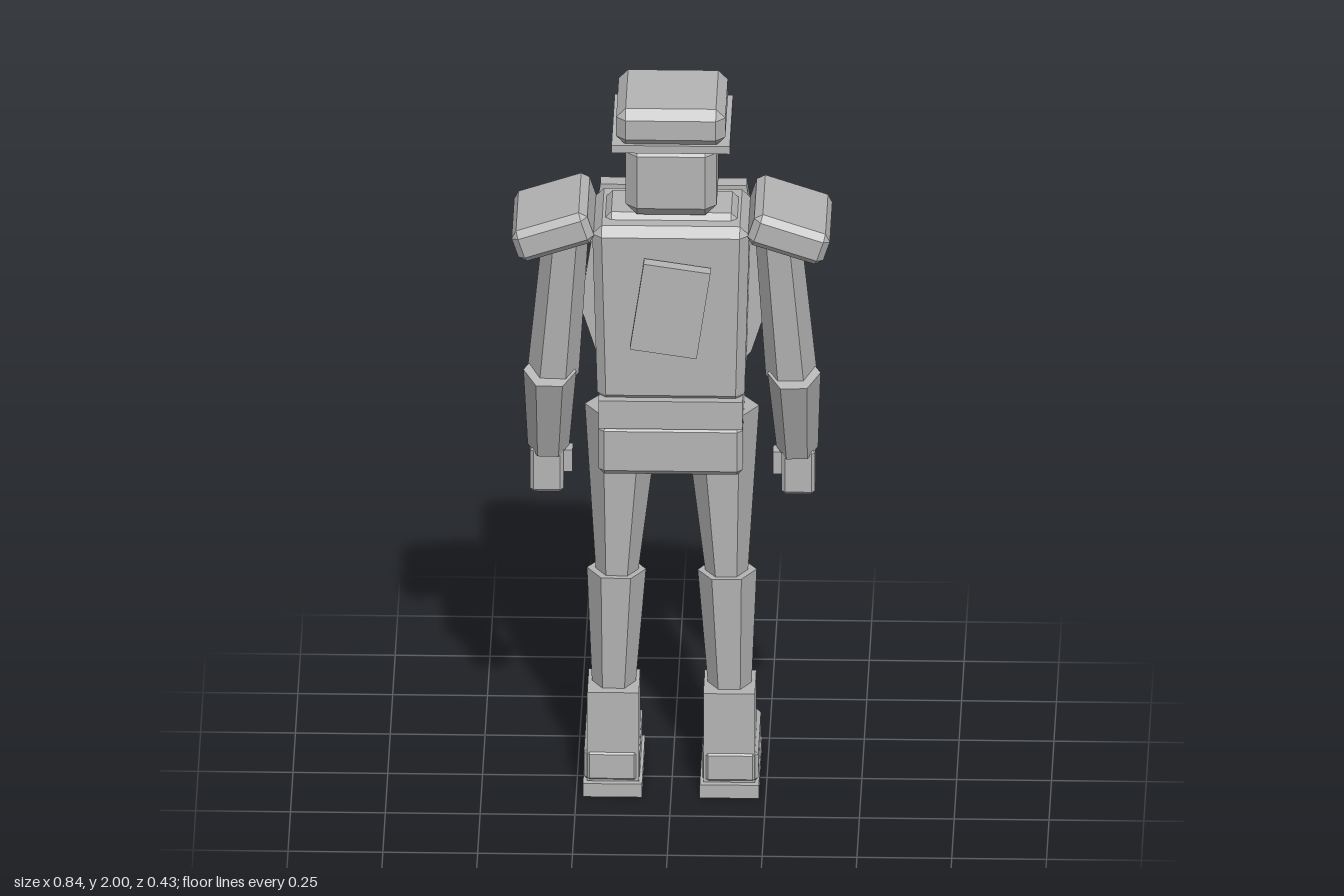
import * as THREE from 'three';
import { ConvexGeometry } from 'three/addons/geometries/ConvexGeometry.js';

export function createModel() {
  const root = new THREE.Group();
  root.name = 'armouredFigure';
  const grey = new THREE.MeshStandardMaterial({ color: 0xb4b4b4, flatShading: true });
  grey.name = 'plainGrey';

  const add = (name, geometry, x, y, z, parent = root) => {
    const mesh = new THREE.Mesh(geometry, grey);
    mesh.name = name;
    mesh.position.set(x, y, z);
    parent.add(mesh);
    return mesh;
  };

  // Box given by its extents on each axis
  const box = (name, [x0, x1], [y0, y1], [z0, z1], parent = root) =>
    add(name, new THREE.BoxGeometry(x1 - x0, y1 - y0, z1 - z0),
      (x0 + x1) / 2, (y0 + y1) / 2, (z0 + z1) / 2, parent);

  // Box with cut edges, optionally narrowed toward the bottom
  const chamferBox = (name, [x0, x1], [y0, y1], [z0, z1], c, parent = root, taperX = 1, taperZ = 1) => {
    const h = [(x1 - x0) / 2, (y1 - y0) / 2, (z1 - z0) / 2];
    const points = [];
    for (const sx of [-1, 1]) for (const sy of [-1, 1]) for (const sz of [-1, 1])
      for (let axis = 0; axis < 3; axis++) {
        const p = h.map((v, i) => (i === axis ? v : v - c));
        const kx = sy < 0 ? taperX : 1, kz = sy < 0 ? taperZ : 1;
        points.push(new THREE.Vector3(sx * p[0] * kx, sy * p[1], sz * p[2] * kz));
      }
    return add(name, new ConvexGeometry(points), (x0 + x1) / 2, (y0 + y1) / 2, (z0 + z1) / 2, parent);
  };

  // Six-sided tapered limb between two points
  const limb = (name, from, to, rTop, rBottom, parent, turn = 0) => {
    const a = new THREE.Vector3(...from), b = new THREE.Vector3(...to);
    const dir = a.clone().sub(b);
    const geometry = new THREE.CylinderGeometry(rTop, rBottom, dir.length(), 6);
    geometry.rotateY(turn);
    const mid = a.clone().add(b).multiplyScalar(0.5);
    const mesh = add(name, geometry, mid.x, mid.y, mid.z, parent);
    mesh.quaternion.setFromUnitVectors(new THREE.Vector3(0, 1, 0), dir.normalize());
    return mesh;
  };

  // Flat plate cut from a half outline mirrored in x
  const plate = (name, half, z0, z1) => {
    const outline = [...half, ...half.map(([x, y]) => [-x, y]).reverse()];
    const shape = new THREE.Shape(outline.map(([x, y]) => new THREE.Vector2(x, y)));
    return add(name, new THREE.ExtrudeGeometry(shape, { depth: z1 - z0, bevelEnabled: false }), 0, 0, z0);
  };

  // Helmet and head
  chamferBox('helmetCrown', [-0.144, 0.144], [1.895, 2], [-0.129, 0.168], 0.025);
  box('helmetBrim', [-0.156, 0.156], [1.878, 1.9], [-0.167, 0.16]);
  chamferBox('head', [-0.12, 0.12], [1.675, 1.885], [-0.106, 0.132], 0.03);
  chamferBox('faceMask', [-0.085, 0.085], [1.705, 1.825], [-0.146, -0.09], 0.017);
  box('goggleBridge', [-0.03, 0.03], [1.825, 1.845], [-0.125, -0.1]);
  for (const s of [-1, 1]) {
    const goggle = box('goggle', [-0.032, 0.032], [1.833, 1.865], [-0.127, -0.1]);
    goggle.position.x = s * 0.055;
    const lens = box('goggleLens', [-0.015, 0.015], [1.84, 1.86], [-0.137, -0.125]);
    lens.position.x = s * 0.055;
  }

  // Torso, belt and hips
  chamferBox('collar', [-0.18, 0.18], [1.62, 1.676], [-0.068, 0.112], 0.022);
  chamferBox('torso', [-0.207, 0.207], [1.15, 1.66], [-0.12, 0.167], 0.025, root, 0.94, 0.93);
  box('belt', [-0.19, 0.19], [1.085, 1.165], [-0.1, 0.173]);
  box('buckle', [-0.035, 0.035], [1.09, 1.145], [-0.122, -0.1]);
  chamferBox('hips', [-0.19, 0.19], [0.945, 1.088], [-0.105, 0.165], 0.015);

  // Breastplate with raised upper panel and bolts
  plate('breastplate', [[0.193, 1.656], [0.245, 1.3], [0.205, 1.175], [0.17, 1.14]], -0.175, -0.128);
  plate('upperPanel', [[0.19, 1.625], [0.195, 1.43]], -0.195, -0.175);
  for (const x of [-0.16, 0.16]) {
    box('upperBolt', [x - 0.013, x + 0.013], [1.572, 1.598], [-0.219, -0.195]);
    box('lowerBolt', [x - 0.013, x + 0.013], [1.23, 1.256], [-0.216, -0.19]);
  }

  // Slightly turned pack on the back
  box('backPack', [-0.089, 0.089], [1.32, 1.57], [0.178, 0.215]).rotation.z = -0.147;

  for (const s of [-1, 1]) {
    const span = (a, b) => (s > 0 ? [a, b] : [-b, -a]);

    // Arm
    const arm = new THREE.Group();
    arm.name = s > 0 ? 'leftArm' : 'rightArm';
    root.add(arm);
    const pad = chamferBox('shoulderPad', [-0.105, 0.105], [-0.046, 0.046], [-0.122, 0.167], 0.018, arm);
    pad.position.x = s * 0.311;
    pad.position.y = 1.628;
    pad.rotation.z = -s * 0.32;
    limb('upperArm', [s * 0.278, 1.62, 0.04], [s * 0.314, 1.17, -0.005], 0.06, 0.068, arm, Math.PI / 6);
    limb('forearm', [s * 0.322, 1.185, 0.025], [s * 0.328, 0.93, -0.065], 0.07, 0.055, arm, Math.PI / 6);
    chamferBox('hand', span(0.287, 0.376), [0.805, 0.935], [-0.122, -0.028], 0.01, arm);
    box('thumb', span(0.264, 0.292), [0.855, 0.918], [-0.1, -0.055], arm);

    // Leg
    const leg = new THREE.Group();
    leg.name = s > 0 ? 'leftLeg' : 'rightLeg';
    root.add(leg);
    limb('thigh', [s * 0.13, 1.085, 0.02], [s * 0.146, 0.57, 0.042], 0.1, 0.052, leg, Math.PI / 6);
    limb('shin', [s * 0.146, 0.62, 0.038], [s * 0.153, 0.28, 0.042], 0.078, 0.057, leg, Math.PI / 6);
    box('kneePad', span(0.1, 0.192), [0.525, 0.652], [-0.06, -0.018], leg);
    box('bootShaft', span(0.085, 0.221), [0.04, 0.296], [-0.032, 0.12], leg);
    chamferBox('bootFoot', span(0.082, 0.23), [0.035, 0.133], [-0.17, 0.125], 0.015, leg);
    box('bootSole', span(0.076, 0.232), [0, 0.038], [-0.178, 0.134], leg);
  }
  return root;
}
